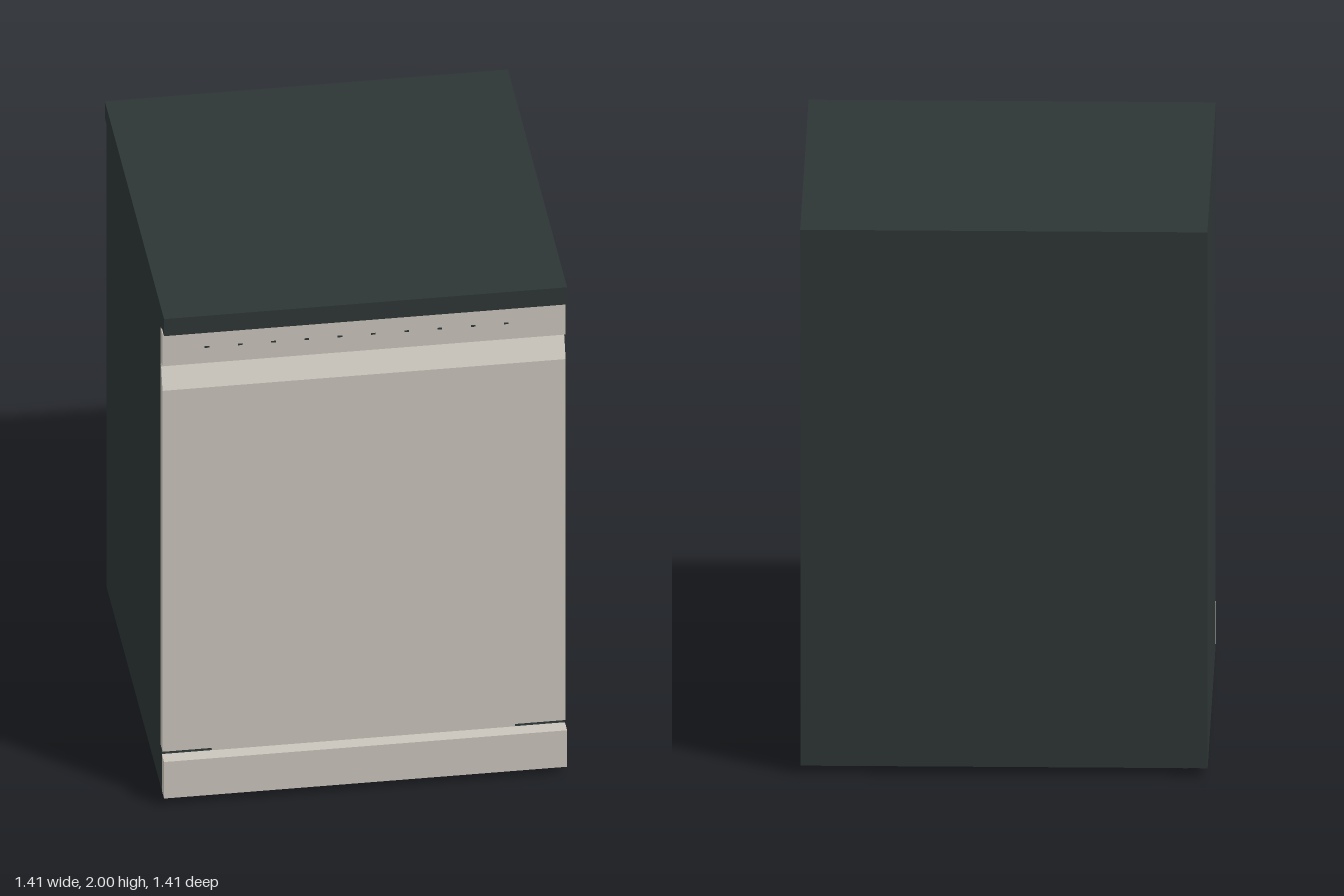
import * as THREE from 'three';

export function createModel() {
  const model = new THREE.Group();
  model.name = 'dishwasher';
  const dark = new THREE.MeshStandardMaterial({ name: 'charcoal', color: 0x2d3635 });
  const light = new THREE.MeshStandardMaterial({ name: 'warmSteel', color: 0xcac5bc });
  const W = 0.705; // half width

  const add = (name, geometry, material) => {
    const mesh = new THREE.Mesh(geometry, material);
    mesh.name = name;
    model.add(mesh);
    return mesh;
  };
  // Box given by its limits on each axis
  const box = (name, material, x0, x1, y0, y1, z0, z1) =>
    add(name, new THREE.BoxGeometry(x1 - x0, y1 - y0, z1 - z0), material)
      .position.set((x0 + x1) / 2, (y0 + y1) / 2, (z0 + z1) / 2);
  // Profile of [z, y] points, extruded across the full width
  const profile = (name, material, points) => {
    const shape = new THREE.Shape(points.map(([z, y]) => new THREE.Vector2(-z, y)));
    const geometry = new THREE.ExtrudeGeometry(shape, { depth: 2 * W, bevelEnabled: false });
    geometry.translate(0, 0, -W).rotateY(Math.PI / 2);
    return add(name, geometry, material);
  };

  // Cabinet and worktop
  box('cabinet', dark, -W, W, 0.03, 1.93, -0.667, 0.617);
  box('worktop', dark, -W, W, 1.93, 2, -0.707, 0.707);
  box('topSpacer', dark, -W, W, 1.915, 1.93, 0.617, 0.633);

  // Door with a sloping upper edge
  profile('door', light, [
    [0.617, 0.2], [0.672, 0.2], [0.672, 1.683], [0.637, 1.762], [0.617, 1.762],
  ]);

  // Control panel with the recessed grip below it
  profile('controlPanel', light, [
    [0.617, 1.764], [0.641, 1.764], [0.641, 1.785], [0.672, 1.785], [0.672, 1.915], [0.617, 1.915],
  ]);
  box('gripSlot', dark, -0.21, 0.21, 1.768, 1.783, 0.64, 0.644);
  for (let i = 0; i < 10; i++) {
    const x = -0.55 + i * 0.1164;
    box('indicator' + (i + 1), dark, x - 0.008, x + 0.008, 1.847, 1.853, 0.671, 0.674);
  }

  // Plinth, its centre strip and side brackets
  box('plinth', light, -W, W, 0.03, 0.18, 0.655, 0.707);
  box('plinthStrip', light, -0.53, 0.53, 0.04, 0.2, 0.64, 0.656);
  for (const s of [-1, 1]) {
    box('plinthBracket', dark, s < 0 ? -W : 0.53, s < 0 ? -0.53 : W, 0.03, 0.2, 0.617, 0.648);
    box('bracketTab', dark, s < 0 ? -W : 0.53, s < 0 ? -0.53 : W, 0.05, 0.18, 0.648, 0.655);
  }

  // Feet
  for (const x of [-0.625, 0.625]) for (const z of [-0.547, 0.55])
    add('foot', new THREE.CylinderGeometry(0.033, 0.033, 0.03, 24), dark).position.set(x, 0.015, z);

  return model;
}
